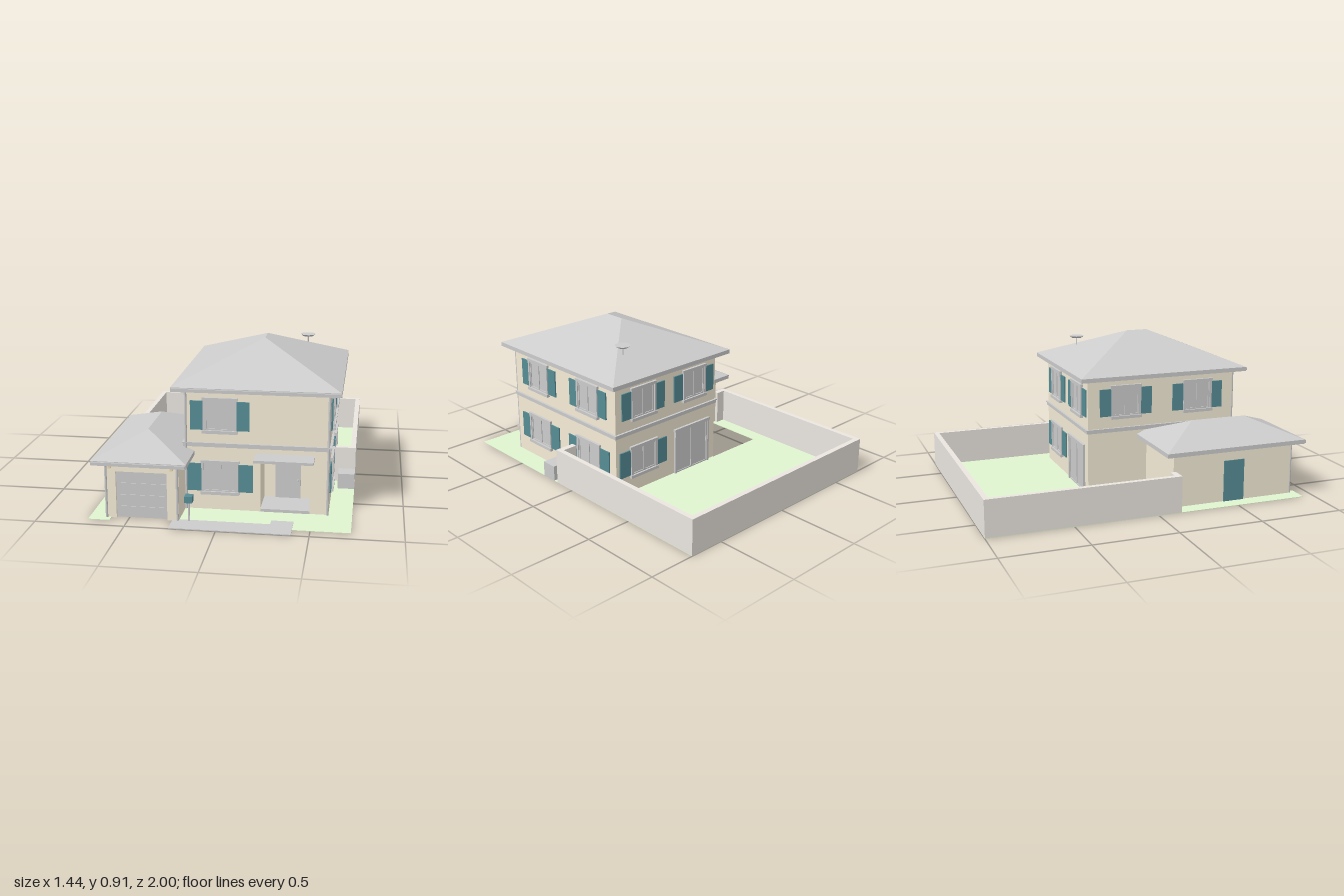
import * as THREE from 'three';

const mat = (color) => new THREE.MeshStandardMaterial({ color, flatShading: true });
const grey = mat(0xcccccc), wall = mat(0xf5ecd6), trim = mat(0xececec), teal = mat(0x568c95);
const lawn = mat(0xe0f4cf), stone = mat(0xeae5df), lamp = mat(0xead7a4);

export function createModel() {
  const house = new THREE.Group();
  house.name = 'house';

  function add(parent, name, geometry, material) {
    const m = new THREE.Mesh(geometry, material);
    m.name = name;
    parent.add(m);
    return m;
  }
  // Box given by its limits on each axis
  function box(parent, name, material, [x0, x1], [y0, y1], [z0, z1]) {
    const m = add(parent, name, new THREE.BoxGeometry(x1 - x0, y1 - y0, z1 - z0), material);
    m.position.set((x0 + x1) / 2, (y0 + y1) / 2, (z0 + z1) / 2);
    return m;
  }
  // Floor plan of [x, z] corners, raised from y0 to y1
  function plan(name, material, corners, y0, y1, hole) {
    const points = (list) => list.map(([x, z]) => new THREE.Vector2(x, -z));
    const shape = new THREE.Shape(points(corners));
    if (hole) shape.holes.push(new THREE.Path(points(hole)));
    const g = new THREE.ExtrudeGeometry(shape, { depth: y1 - y0, bevelEnabled: false });
    g.rotateX(-Math.PI / 2).translate(0, y0, 0);
    return add(house, name, g, material);
  }
  const rect = (x0, x1, z0, z1) => [[x0, z0], [x1, z0], [x1, z1], [x0, z1]];

  // Hipped roof: eave slab, front gutter and four slopes meeting at a ridge
  function roof(name, [x0, x1], [z0, z1], [y0, y1, y2], xr, [zr, zf]) {
    const group = new THREE.Group();
    group.name = name;
    house.add(group);
    box(group, 'eaves', trim, [x0, x1], [y0, y1], [z0, z1]);
    box(group, 'gutter', trim, [x0 + 0.005, x1 - 0.005], [y0 + 0.003, y1 - 0.004], [z1, z1 + 0.01]);
    const a = [x0, y1, z1], b = [x1, y1, z1], c = [x1, y1, z0], d = [x0, y1, z0];
    const f = [xr, y2, zf], r = [xr, y2, zr];
    const g = new THREE.BufferGeometry();
    const tris = [a, b, f, b, c, r, b, r, f, c, d, r, d, a, f, d, f, r];
    g.setAttribute('position', new THREE.Float32BufferAttribute(tris.flat(), 3));
    g.computeVertexNormals();
    add(group, 'slopes', g, grey);
  }

  // Window facing +z, bottom of the glass at y = 0
  function makeWindow({ w = 0.16, h = 0.17, shutter = 0.07, gap = 0.095 }) {
    const win = new THREE.Group();
    win.name = 'window';
    const t = 0.014, x = w / 2;
    box(win, 'glass', grey, [-x, x], [0, h], [-0.005, 0.004]);
    for (const s of [-1, 1]) {
      box(win, 'frameSide', trim, [s * (x + t / 2) - t / 2, s * (x + t / 2) + t / 2], [0, h], [-0.005, 0.014]);
      // Sash rails around each pane
      const c = s * x / 2, o = x / 2;
      for (const e of [-1, 1]) {
        box(win, 'sashStile', grey, [c + e * (o - 0.004) - 0.004, c + e * (o - 0.004) + 0.004], [0, h], [0, 0.009]);
      }
      box(win, 'sashBottom', grey, [c - o, c + o], [0, 0.008], [0, 0.009]);
      box(win, 'sashTop', grey, [c - o, c + o], [h - 0.008, h], [0, 0.009]);
      if (shutter) {
        const m = s * (gap + shutter / 2);
        box(win, 'shutter', teal, [m - shutter / 2, m + shutter / 2], [0, h - 0.005], [-0.005, 0.008]);
      }
    }
    box(win, 'lintel', trim, [-x - 0.018, x + 0.018], [h, h + 0.016], [-0.005, 0.015]);
    if (shutter) box(win, 'sill', trim, [-x - 0.018, x + 0.018], [-0.018, 0], [-0.005, 0.02]);
    return win;
  }
  function place(win, x, y, z, turn) {
    win.position.set(x, y, z);
    win.rotation.y = turn;
    house.add(win);
  }
  const upper = {}, lower = { w: 0.18, h: 0.165, shutter: 0.08, gap: 0.105 };

  // Ground with the garage and side-yard opening, paved path
  plan('lawn', lawn, [[-0.72, -1], [0.717, -1], [0.717, 0.93], [-0.22, 0.93],
    [-0.22, -0.255], [-0.6, -0.255], [-0.6, 0.93], [-0.72, 0.93]], 0, 0.003);
  plan('path', grey, [[-0.257, 0.873], [0.28, 0.873], [0.28, 0.82], [0.403, 0.82],
    [0.403, 1], [-0.257, 1]], 0, 0.005);

  // Yard wall with short returns to the garage and house
  plan('yardWall', stone, [[-0.72, -1], [0.717, -1], [0.717, 0.14], [0.585, 0.14], [0.585, 0.105],
    [0.687, 0.105], [0.687, -0.97], [-0.69, -0.97], [-0.69, 0.105], [-0.63, 0.105],
    [-0.63, 0.14], [-0.72, 0.14]], 0, 0.217);

  // Main house: ground floor with recessed porch, upper floor, belt course
  const X = [-0.22, 0.585], Z = [-0.25, 0.694];
  plan('groundFloor', wall, [[X[0], Z[0]], [X[1], Z[0]], [X[1], Z[1]], [0.48, Z[1]], [0.48, 0.5],
    [0.205, 0.5], [0.205, Z[1]], [X[0], Z[1]]], 0, 0.315);
  box(house, 'upperFloor', wall, X, [0.315, 0.7], Z);
  const band = (p) => rect(X[0] - p, X[1] + p, Z[0] - p, Z[1] + p);
  plan('beltCourse', trim, band(0.008), 0.372, 0.394, band(-0.01));
  plan('beltCap', trim, band(0.013), 0.39, 0.397, band(-0.01));
  roof('mainRoof', [-0.284, 0.645], [-0.308, 0.756], [0.695, 0.72, 0.912], 0.18, [0.153, 0.284]);

  // Porch
  box(house, 'porchStep', grey, [0.205, 0.48], [0, 0.02], [0.49, 0.697]);
  box(house, 'frontDoor', grey, [0.27, 0.415], [0.02, 0.26], [0.49, 0.508]);
  const knob = add(house, 'doorKnob', new THREE.SphereGeometry(0.005, 10, 8), grey);
  knob.position.set(0.4, 0.13, 0.511);
  box(house, 'porchLamp', lamp, [0.438, 0.453], [0.222, 0.252], [0.495, 0.515]);
  box(house, 'porchCanopy', trim, [0.18, 0.505], [0.33, 0.345], [0.685, 0.82]);

  // Windows on every side
  place(makeWindow(upper), -0.022, 0.47, Z[1], 0);
  place(makeWindow(lower), -0.022, 0.113, Z[1], 0);
  for (const z of [0.458, -0.01]) {
    place(makeWindow(upper), X[1], 0.47, z, Math.PI / 2);
    place(makeWindow(lower), X[1], 0.113, z, Math.PI / 2);
    place(makeWindow(upper), X[0], 0.47, z, -Math.PI / 2);
  }
  for (const x of [0.375, -0.035]) place(makeWindow(upper), x, 0.47, Z[0], Math.PI);
  place(makeWindow(lower), 0.375, 0.113, Z[0], Math.PI);
  const patio = makeWindow({ w: 0.26, h: 0.275, shutter: 0 });
  patio.name = 'patioDoor';
  place(patio, -0.02, 0.003, Z[0], Math.PI);

  // Garage: hollow walls with a door opening
  const inner = rect(-0.6, -0.25, 0.155, 0.855);
  plan('garageWalls', wall, [[-0.63, 0.125], [-0.22, 0.125], [-0.22, 0.885], [-0.285, 0.885],
    [-0.285, 0.855], [-0.25, 0.855], [-0.25, 0.155], [-0.6, 0.155], [-0.6, 0.855],
    [-0.57, 0.855], [-0.57, 0.885], [-0.63, 0.885]], 0, 0.27);
  plan('garageUpperWalls', wall, rect(-0.63, -0.22, 0.125, 0.885), 0.27, 0.322, inner);
  roof('garageRoof', [-0.69, -0.166], [0.063, 0.945], [0.32, 0.345, 0.455], -0.43, [0.327, 0.672]);
  for (let i = 0; i < 4; i++) {
    const y = i * 0.0675;
    box(house, 'garageDoorPanel', grey, [-0.57, -0.285], [y + 0.002, y + 0.0655], [0.858, 0.872]);
  }
  box(house, 'garageDoorBacking', grey, [-0.57, -0.285], [0, 0.27], [0.856, 0.868]);
  for (const x of [-0.6, -0.257]) {
    box(house, 'garageLamp', lamp, [x - 0.008, x + 0.008], [0.29, 0.315], [0.88, 0.9]);
  }
  box(house, 'sideDoor', teal, [-0.636, -0.594], [0, 0.25], [0.445, 0.575]);

  // Drainpipes on the front corners
  for (const [x, z, h] of [[-0.213, 0.7, 0.7], [0.579, 0.7, 0.7], [-0.624, 0.89, 0.32], [-0.227, 0.89, 0.32]]) {
    const pipe = add(house, 'drainpipe', new THREE.CylinderGeometry(0.007, 0.007, h, 8), grey);
    pipe.position.set(x, h / 2, z);
  }

  // Air conditioner beside the yard wall
  box(house, 'airConditioner', grey, [0.618, 0.717], [0, 0.095], [0.17, 0.27]);

  // Mailbox
  box(house, 'mailboxPost', grey, [-0.169, -0.159], [0, 0.118], [0.88, 0.89]);
  box(house, 'mailbox', teal, [-0.185, -0.142], [0.115, 0.152], [0.86, 0.908]);

  // Rooftop dish
  const mast = add(house, 'dishMast', new THREE.CylinderGeometry(0.004, 0.004, 0.07, 8), grey);
  mast.position.set(0.4, 0.815, -0.11);
  const dish = add(house, 'dish', new THREE.CylinderGeometry(0.046, 0.031, 0.012, 24), grey);
  dish.position.set(0.4, 0.853, -0.11);

  return house;
}
